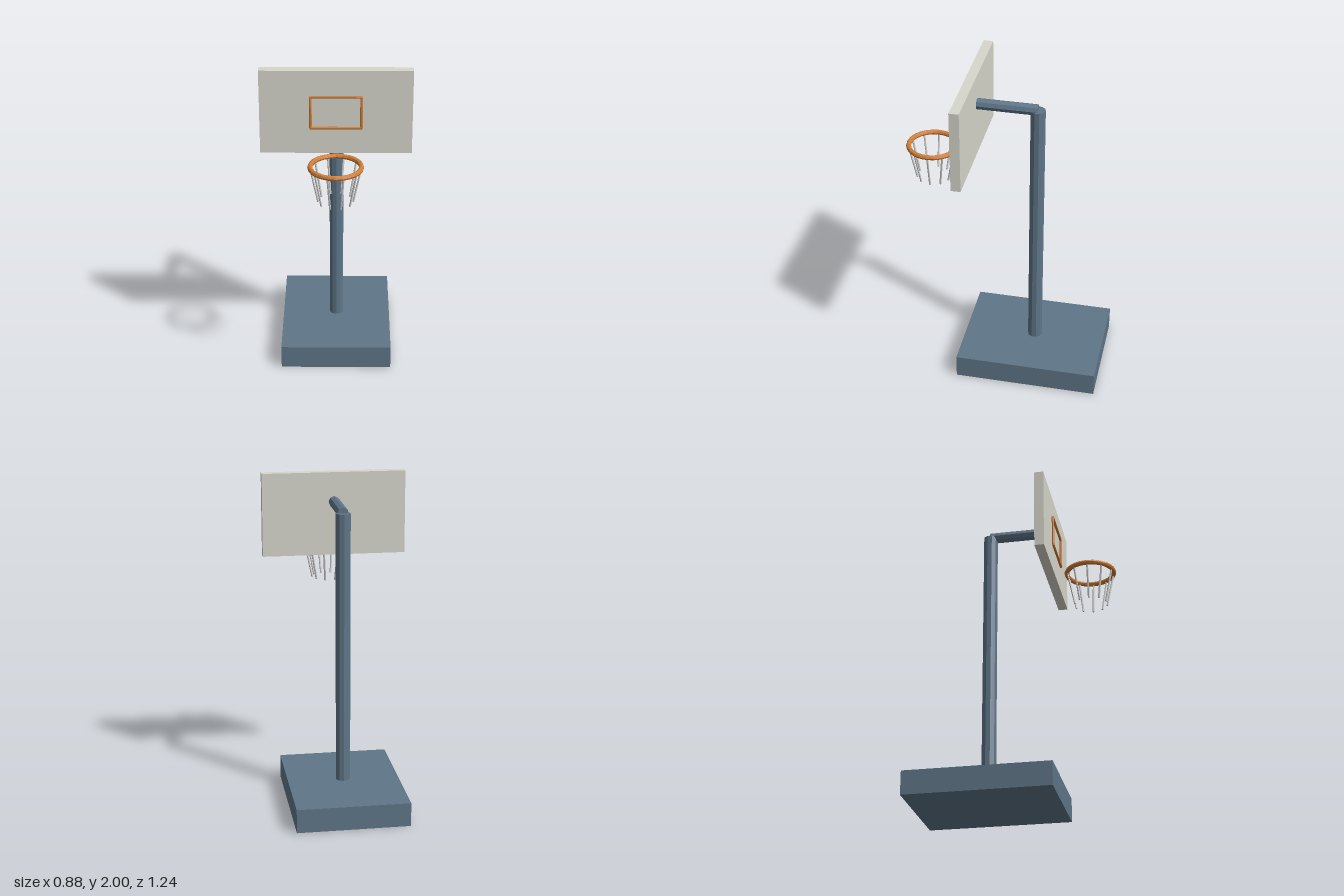
import * as THREE from 'three';

const material = (color) => new THREE.MeshStandardMaterial({ color, flatShading: true });

export function createModel() {
  const model = new THREE.Group();
  model.name = 'basketballHoop';
  const steel = material(0x5f7688);
  const orange = material(0xd07f38);
  const panel = material(0xd8d7cc);
  const cord = material(0xcccccc);

  const add = (name, geometry, mat, x, y, z, parent = model) => {
    const mesh = new THREE.Mesh(geometry, mat);
    mesh.name = name;
    mesh.position.set(x, y, z);
    parent.add(mesh);
    return mesh;
  };

  // Straight round bar between two points
  const bar = (name, a, b, radius, sides, mat, parent = model) => {
    const from = new THREE.Vector3(...a);
    const dir = new THREE.Vector3(...b).sub(from);
    const geometry = new THREE.CylinderGeometry(radius, radius, dir.length(), sides);
    const mid = from.clone().addScaledVector(dir, 0.5);
    const mesh = add(name, geometry, mat, mid.x, mid.y, mid.z, parent);
    mesh.quaternion.setFromUnitVectors(new THREE.Vector3(0, 1, 0), dir.normalize());
    return mesh;
  };

  // Base, pole and the arm that carries the board
  add('base', new THREE.BoxGeometry(0.686, 0.147, 0.884), steel, 0, 0.0735, -0.181);
  bar('pole', [0, 0.147, -0.181], [0, 1.818, -0.181], 0.045, 10, steel);
  bar('arm', [0, 1.819, -0.181], [0, 1.819, 0.182], 0.034, 8, steel);

  // Backboard with its raised target frame
  add('backboard', new THREE.BoxGeometry(0.884, 0.512, 0.059), panel, 0, 1.744, 0.211);
  const target = new THREE.Group();
  target.name = 'targetFrame';
  model.add(target);
  const w = 0.147, low = 1.65, high = 1.843, tz = 0.248, r = 0.008;
  for (const y of [low, high]) bar('targetRail', [-w - 0.005, y, tz], [w + 0.005, y, tz], r, 8, orange, target);
  for (const x of [-w, w]) bar('targetSide', [x, low, tz], [x, high, tz], r, 8, orange, target);

  // Rim
  const rimY = 1.501, rimZ = 0.457, rimR = 0.147;
  add('rim', new THREE.TorusGeometry(rimR, 0.015, 8, 24).rotateX(Math.PI / 2), orange, 0, rimY, rimZ);

  // Ten net cords leaning inwards
  const net = new THREE.Group();
  net.name = 'net';
  model.add(net);
  for (let i = 0; i < 10; i++) {
    const a = (i / 10) * Math.PI * 2;
    const c = Math.cos(a), s = Math.sin(a);
    bar('netCord', [c * rimR, rimY, rimZ + s * rimR], [c * 0.101, 1.281, rimZ + s * 0.101], 0.006, 6, cord, net);
  }
  return model;
}
